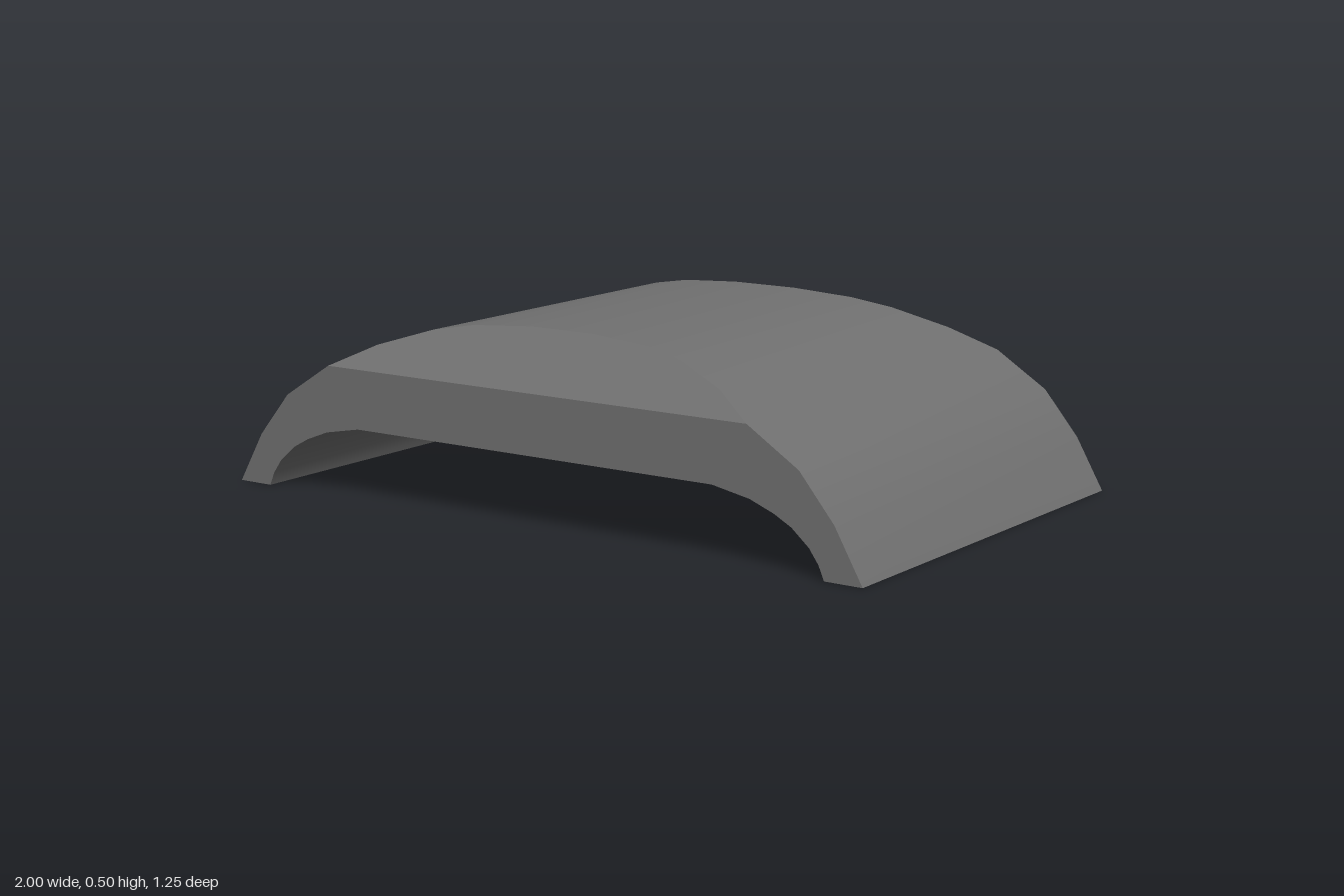
import * as THREE from 'three';
import { toCreasedNormals } from 'three/addons/utils/BufferGeometryUtils.js';

const HALF_DEPTH = 0.625, SHOULDER = 0.355, SLOPE = 1.07;

// Right half of the arch section: outside from foot to crown, inside from ceiling to foot
const outer = [[1, 0], [0.92, 0.14], [0.82, 0.26], [0.67, SHOULDER], [0.55, 0.415], [0.4, 0.463], [0.28, 0.484], [0.1, 0.496]];
const inner = [[0.57, 0.193], [0.68, 0.172], [0.75, 0.145], [0.8, 0.118], [0.85, 0.075], [0.877, 0.037], [0.893, 0]];

const mirror = (pts) => pts.map(([x, y]) => [-x, y]).reverse();

// Above the shoulder both ends lean inwards as a flat chamfer
const depthAt = (y) => HALF_DEPTH - Math.max(0, y - SHOULDER) * SLOPE;

export function createModel() {
  const positions = [];
  const point = ([x, y], side) => [x, y, side * depthAt(y)];
  const triangle = (...corners) => corners.forEach((c) => positions.push(...c));

  // Walls swept front to back around the whole section
  const loop = [...outer, ...mirror(outer), ...mirror(inner), ...inner];
  loop.forEach((a, i) => {
    const b = loop[(i + 1) % loop.length];
    triangle(point(a, 1), point(a, -1), point(b, -1));
    triangle(point(a, 1), point(b, -1), point(b, 1));
  });

  // Upright end faces and the chamfers above them
  const low = outer.filter(([, y]) => y <= SHOULDER);
  const high = outer.filter(([, y]) => y >= SHOULDER);
  const endFace = [...low, ...mirror(low), ...mirror(inner), ...inner];
  const chamfer = [...high, ...mirror(high)];
  for (const outline of [endFace, chamfer]) {
    const contour = outline.map(([x, y]) => new THREE.Vector2(x, y));
    for (const [a, b, c] of THREE.ShapeUtils.triangulateShape(contour, [])) {
      triangle(point(outline[a], 1), point(outline[b], 1), point(outline[c], 1));
      triangle(point(outline[c], -1), point(outline[b], -1), point(outline[a], -1));
    }
  }

  const geometry = new THREE.BufferGeometry();
  geometry.setAttribute('position', new THREE.Float32BufferAttribute(positions, 3));

  const cover = new THREE.Mesh(
    toCreasedNormals(geometry, THREE.MathUtils.degToRad(32)),
    new THREE.MeshStandardMaterial({ color: 0x707070 })
  );
  cover.name = 'archedCover';

  const model = new THREE.Group();
  model.name = 'archedCoverModel';
  model.add(cover);
  return model;
}
